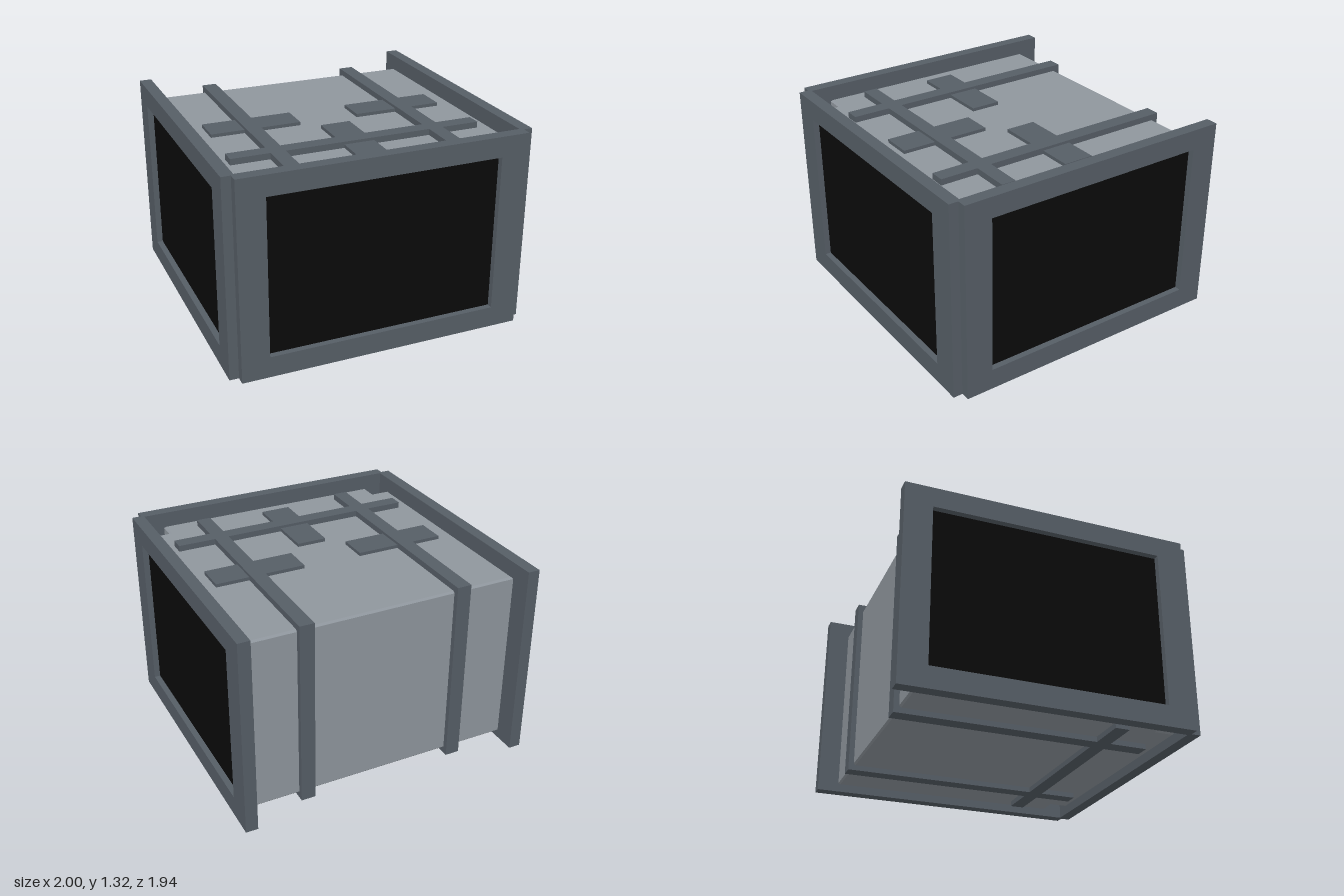
import * as THREE from 'three';

const frameMat = new THREE.MeshStandardMaterial({ color: 0x565e66 });
const bodyMat = new THREE.MeshStandardMaterial({ color: 0x8f969d });
const glassMat = new THREE.MeshStandardMaterial({ color: 0x0a0a0a });

const HEIGHT = 1.32;
const BODY = { bottom: 0.05, top: 1.225, back: -0.83 };
const STRAP = { bottom: 0.015, top: 1.265, back: -0.865 };

// Box given by its minimum and maximum on each axis
function box(name, [x0, x1], [y0, y1], [z0, z1], material = frameMat) {
  const mesh = new THREE.Mesh(new THREE.BoxGeometry(x1 - x0, y1 - y0, z1 - z0), material);
  mesh.position.set((x0 + x1) / 2, (y0 + y1) / 2, (z0 + z1) / 2);
  mesh.name = name;
  return mesh;
}

function rectangle(PathType, x0, x1, y0, y1) {
  const path = new PathType();
  path.moveTo(x0, y0).lineTo(x1, y0).lineTo(x1, y1).lineTo(x0, y1).closePath();
  return path;
}

// Framed screen: outer face at z = 0, facing +z
function screenPanel(name) {
  const panel = new THREE.Group();
  panel.name = name;
  const shape = rectangle(THREE.Shape, -0.94, 0.94, 0, HEIGHT);
  shape.holes.push(rectangle(THREE.Path, -0.76, 0.76, 0.14, 1.185));
  const geometry = new THREE.ExtrudeGeometry(shape, { depth: 0.08, bevelEnabled: false });
  geometry.translate(0, 0, -0.08);
  const frame = new THREE.Mesh(geometry, frameMat);
  frame.name = 'screenFrame';
  panel.add(frame, box('screenGlass', [-0.76, 0.76], [0.14, 1.185], [-0.075, -0.04], glassMat));
  return panel;
}

// Chamfered case with notched front corners
function caseBody() {
  const bevel = 0.012;
  const half = [[0.917, BODY.back], [0.917, 0.76], [0.79, 0.76], [0.79, 0.883]];
  const inset = half.map(([x, z], i) => [x - bevel, z + (i === 0 ? bevel : -bevel)]);
  const right = inset.map(([x, z]) => new THREE.Vector2(x, -z));
  const left = inset.map(([x, z]) => new THREE.Vector2(-x, -z)).reverse();
  const geometry = new THREE.ExtrudeGeometry(new THREE.Shape([...right, ...left]), {
    depth: BODY.top - BODY.bottom - 2 * bevel,
    bevelSize: bevel, bevelThickness: bevel, bevelSegments: 1,
  });
  geometry.rotateX(-Math.PI / 2).translate(0, BODY.bottom + bevel, 0);
  const mesh = new THREE.Mesh(geometry, bodyMat);
  mesh.name = 'caseBody';
  return mesh;
}

export function createModel() {
  const model = new THREE.Group();
  model.name = 'screenBox';
  model.add(caseBody());

  // Three framed screens
  const front = screenPanel('frontScreen');
  front.position.z = 0.97;
  model.add(front);
  for (const [side, name] of [[1, 'leftScreen'], [-1, 'rightScreen']]) {
    const panel = screenPanel(name);
    panel.rotation.y = side * Math.PI / 2;
    panel.position.set(side, 0, -0.032);
    model.add(panel);
  }

  // Straps wrapping over the top, down the back and under the bottom
  const upper = [BODY.top - 0.02, STRAP.top];
  const lower = [STRAP.bottom, BODY.bottom + 0.02];
  for (const side of [-1, 1]) {
    const strap = new THREE.Group();
    strap.name = side > 0 ? 'leftStrap' : 'rightStrap';
    const x = [side * 0.53 - 0.048, side * 0.53 + 0.048];
    strap.add(
      box('strapTop', x, upper, [STRAP.back, 0.795]),
      box('strapBottom', x, lower, [STRAP.back, 0.795]),
      box('strapBack', x, [lower[1], upper[0]], [STRAP.back, BODY.back + 0.02]),
    );
    model.add(strap);
  }
  model.add(
    box('topCrossStrap', [-0.83, 0.83], upper, [0.45, 0.545]),
    box('bottomCrossStrap', [-0.83, 0.83], lower, [0.45, 0.545]),
  );

  // Flat pads on the top
  const padY = [BODY.top - 0.01, BODY.top + 0.022];
  model.add(
    box('leftPad', [0.2, 0.8], padY, [-0.135, 0.065]),
    box('rightPad', [-0.8, -0.2], padY, [-0.135, 0.065]),
    box('frontPad', [-0.1, 0.1], padY, [0.17, 0.765]),
  );
  return model;
}
